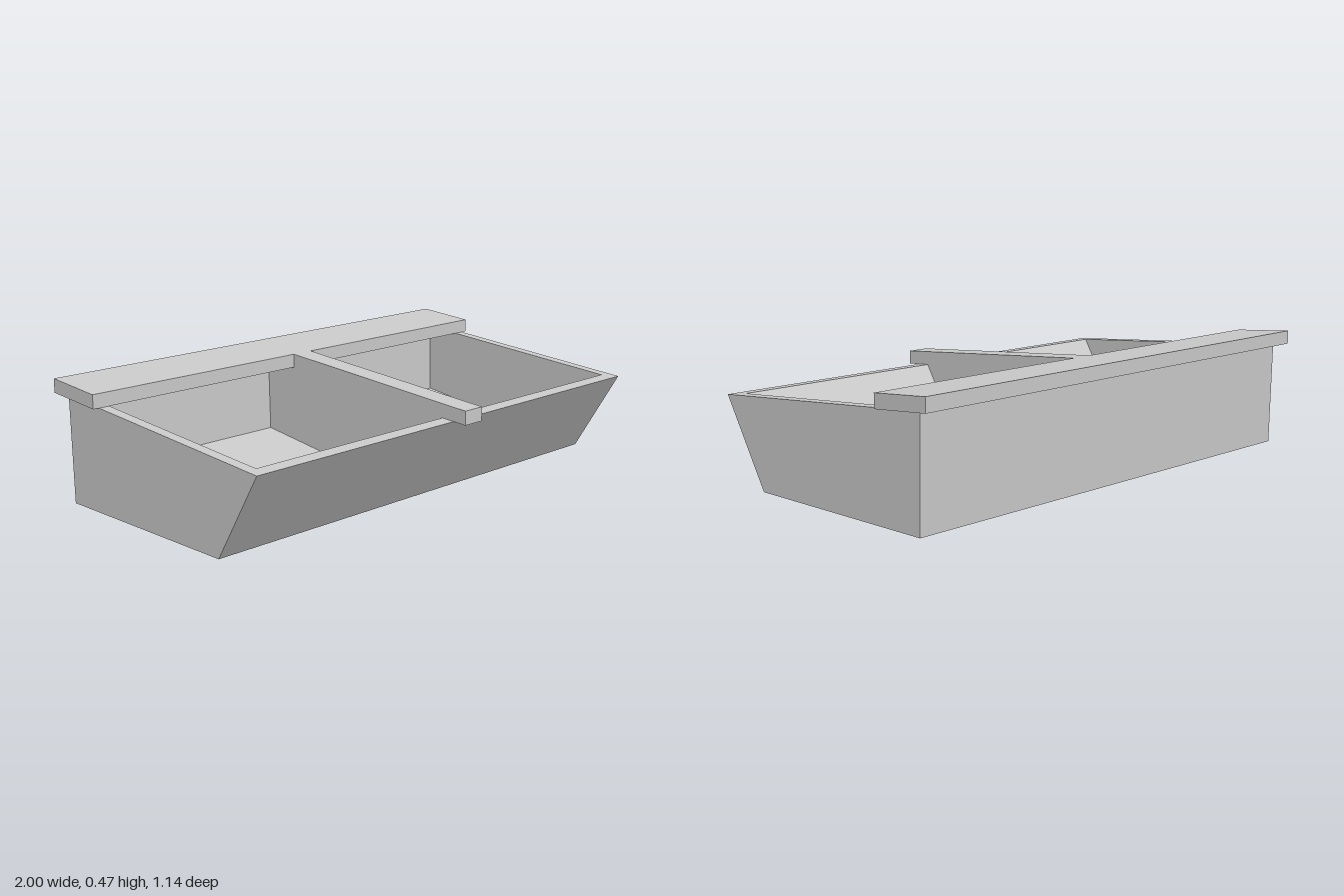
import * as THREE from 'three';

const material = new THREE.MeshStandardMaterial({ color: 0xcccccc, flatShading: true });
const SLOPE = 0.0775;                        // tilt of the rim and cover
const rimY = (z) => 0.369 - SLOPE * z;       // height of the rim at depth z

function mesh(name, geometry) {
  const m = new THREE.Mesh(geometry, material);
  m.name = name;
  return m;
}

// Extrudes a [z, y] side profile between two x positions
function sideSlab(name, profile, x0, x1) {
  const shape = new THREE.Shape(profile.map(([z, y]) => new THREE.Vector2(-z, y)));
  const geometry = new THREE.ExtrudeGeometry(shape, { depth: x1 - x0, bevelEnabled: false });
  geometry.rotateY(Math.PI / 2);
  geometry.translate(x0, 0, 0);
  return mesh(name, geometry);
}

export function createModel() {
  const group = new THREE.Group();
  const halfWidth = 0.975, inner = 0.932, beam = 0.045;

  // Outer and inner corners of the trough, seen from the side
  const outer = [[-0.512, 0], [0.315, 0], [0.515, rimY(0.515)], [-0.519, rimY(-0.519)]];
  const cavity = [[0.462, rimY(0.462)], [0.27, 0.015], [-0.478, 0.117], [-0.484, rimY(-0.484)]];

  // Front wall, sloping floor and back wall in one section
  const section = [outer[0], outer[1], outer[2], ...cavity, outer[3]];
  group.add(sideSlab('basin', section, -inner, inner));

  // End walls
  group.add(sideSlab('leftEndWall', outer, inner, halfWidth));
  group.add(sideSlab('rightEndWall', outer, -halfWidth, -inner));

  // Partition between the two compartments
  group.add(sideSlab('divider', cavity, -beam, beam));

  // T-shaped cover: back ledge and centre beam, sheared to follow the rim
  const plan = [[-1, -0.572], [1, -0.572], [1, -0.33], [beam, -0.33], [beam, 0.57],
    [-beam, 0.57], [-beam, -0.33], [-1, -0.33]];
  const shape = new THREE.Shape(plan.map(([x, z]) => new THREE.Vector2(x, -z)));
  const cover = new THREE.ExtrudeGeometry(shape, { depth: 0.053, bevelEnabled: false });
  cover.rotateX(-Math.PI / 2);
  const p = cover.attributes.position;
  for (let i = 0; i < p.count; i++) p.setY(i, p.getY(i) + rimY(p.getZ(i)));
  cover.computeVertexNormals();
  group.add(mesh('cover', cover));

  return group;
}
